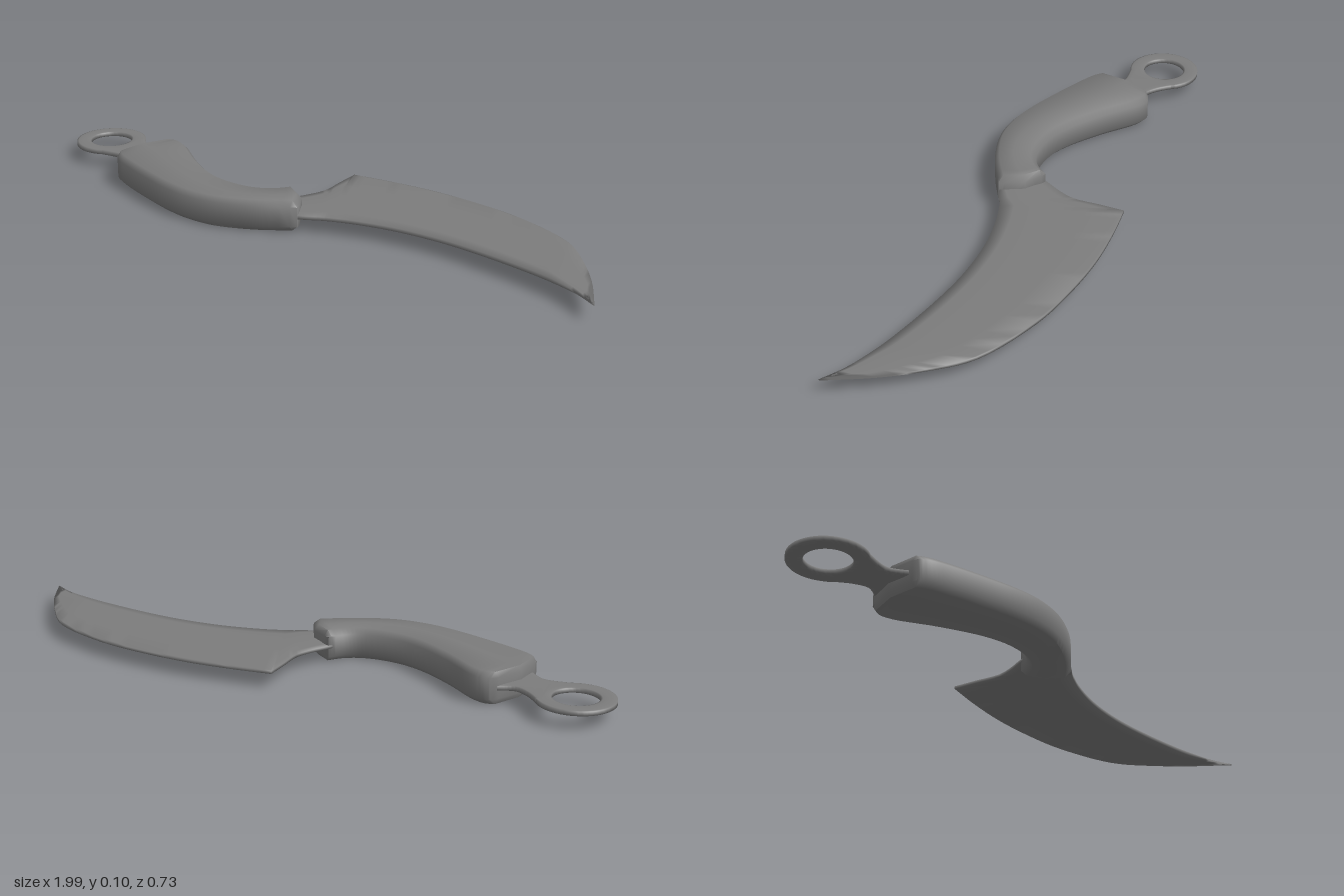
import * as THREE from 'three';
import { toCreasedNormals } from 'three/addons/utils/BufferGeometryUtils.js';

const MID = 0.053; // height of the flat centre plane
const mat = new THREE.MeshStandardMaterial({ color: 0x7c7c7c });

// Smooth curve through [x, z] points
const curve = (pts) => new THREE.CatmullRomCurve3(pts.map(([x, z]) => new THREE.Vector3(x, MID, z)));

// Closed ring from back edge a to front edge b; profile holds [fraction across, half height]
function section(a, b, profile, bow = 0) {
  const across = b.clone().sub(a);
  const out = new THREE.Vector3(across.z, 0, -across.x).normalize();
  const at = ([s, h], sign) => a.clone().lerp(b, s)
    .addScaledVector(out, bow * Math.sin(Math.PI * s)).setY(MID + sign * h);
  return [...profile.map((p) => at(p, 1)), ...[...profile].reverse().map((p) => at(p, -1))];
}

// Skin over rings, closed at both ends
function loft(rings, crease) {
  const n = rings[0].length, last = (rings.length - 1) * n, index = [];
  const quad = (a, b, c, d) => index.push(a, b, c, a, c, d);
  for (let i = 0; i < rings.length - 1; i++) {
    for (let j = 0; j < n; j++) {
      const k = (j + 1) % n;
      quad(i * n + j, i * n + k, (i + 1) * n + k, (i + 1) * n + j);
    }
  }
  for (let j = 0; j < n / 2 - 1; j++) {
    quad(n - 1 - j, n - 2 - j, j + 1, j);
    quad(last + j, last + j + 1, last + n - 2 - j, last + n - 1 - j);
  }
  const geo = new THREE.BufferGeometry().setFromPoints(rings.flat());
  geo.setIndex(index);
  return toCreasedNormals(geo, crease);
}

function handleGeometry() {
  const back = curve([[-0.64, -0.236], [-0.605, -0.24], [-0.57, -0.22], [-0.475, -0.115],
    [-0.37, -0.02], [-0.29, 0.025], [-0.19, 0.045], [-0.13, 0.03], [-0.083, -0.008]]);
  const front = curve([[-0.737, -0.05], [-0.715, -0.02], [-0.66, 0.02], [-0.555, 0.085],
    [-0.46, 0.138], [-0.37, 0.174], [-0.27, 0.189], [-0.13, 0.17], [0, 0.125]]);
  const bevel = 0.017, rings = [], steps = 40;
  const ts = [0, 0.03];
  for (let i = 2; i < steps - 1; i++) ts.push(i / steps);
  ts.push(0.98, 1);
  ts.forEach((t) => {
    const a = back.getPoint(t), b = front.getPoint(t);
    const h = t === 0 || t === 1 ? 0.033 : 0.05;
    const e = bevel / a.distanceTo(b);
    const profile = [[0, 0.033], [e, h], [0.5, h], [1 - e, h], [1, 0.033]];
    rings.push(section(a, b, profile, THREE.MathUtils.lerp(-0.022, 0.025, t)));
  });
  return loft(rings, 0.95);
}

function bladeGeometry() {
  // Neck sweeping up to the heel, then the blade itself; both share the heel line.
  // The last number is the width of the rounding along the back edge.
  const pieces = [
    [curve([[-0.12, 0.04], [-0.085, -0.01], [-0.04, -0.064], [-0.01, -0.115], [0.005, -0.2], [0.02, -0.28]]),
      curve([[-0.06, 0.13], [0, 0.122], [0.02, 0.118], [0.045, 0.111], [0.065, 0.105], [0.085, 0.1]]), 20, 0.15],
    [curve([[0.02, -0.28], [0.14, -0.272], [0.3, -0.25], [0.46, -0.208], [0.62, -0.147],
      [0.81, -0.024], [0.89, 0.094], [0.95, 0.22], [0.996, 0.362]]),
      curve([[0.085, 0.1], [0.165, 0.09], [0.3, 0.09], [0.46, 0.115], [0.62, 0.163],
        [0.81, 0.238], [0.87, 0.27], [0.935, 0.312], [0.994, 0.364]]), 40, 0.02],
  ];
  const rings = [];
  pieces.forEach(([a, b, steps, round]) => {
    const shape = [[0, 0.0045], [round, 0.0055], [0.3, 0.008], [0.5, 0.009], [0.7, 0.009], [0.88, 0.0085], [1, 0.006]];
    for (let i = 0; i <= steps; i++) {
      const pa = a.getPoint(i / steps), pb = b.getPoint(i / steps);
      // Thins towards the tip
      const thin = 1 - 0.75 * THREE.MathUtils.smoothstep(pa.x, 0.83, 1);
      rings.push(section(pa, pb, shape.map(([s, h]) => [s, h * thin])));
    }
  });
  return loft(rings, Math.PI);
}

// Flat finger ring with its flared neck running into the butt of the handle
function ringGeometry() {
  const cx = -0.88, cy = 0.251, outline = new THREE.Shape();
  const v = (pts) => pts.map(([x, y]) => new THREE.Vector2(x, y));
  outline.absarc(cx, cy, 0.118, 0.39, Math.PI * 2 - 1.32, false);
  outline.splineThru(v([[-0.78, 0.13], [-0.745, 0.1], [-0.7, 0.03]]));
  outline.lineTo(-0.61, 0.15);
  outline.lineTo(-0.645, 0.228);
  outline.splineThru(v([[-0.7, 0.219], [-0.74, 0.25], [-0.771, 0.296]]));
  const hole = new THREE.Path();
  hole.absarc(cx, cy, 0.07, 0, Math.PI * 2, true);
  outline.holes.push(hole);
  const geo = new THREE.ExtrudeGeometry(outline, {
    depth: 0.013, bevelThickness: 0.002, bevelSize: 0.018, bevelOffset: -0.018,
    bevelSegments: 2, curveSegments: 32,
  });
  geo.rotateX(-Math.PI / 2).translate(0, MID - 0.0065, 0);
  return toCreasedNormals(geo, Math.PI);
}

export function createModel() {
  const group = new THREE.Group();
  const parts = { handle: handleGeometry(), blade: bladeGeometry(), fingerRing: ringGeometry() };
  for (const [name, geo] of Object.entries(parts)) {
    const mesh = new THREE.Mesh(geo, mat);
    mesh.name = name;
    group.add(mesh);
  }
  return group;
}
